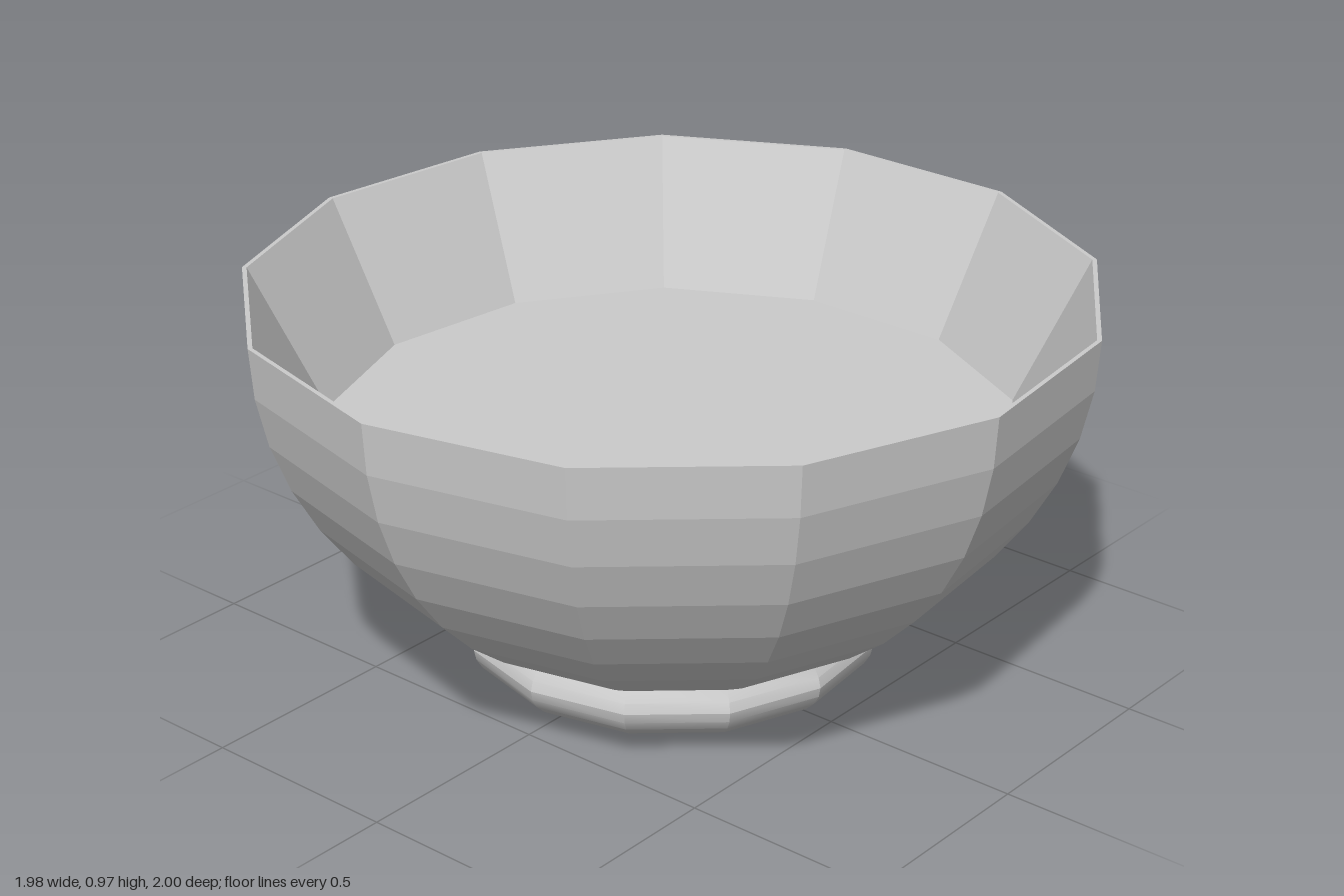
import * as THREE from 'three';
import { toCreasedNormals } from 'three/addons/utils/BufferGeometryUtils.js';

const SIDES = 13;
const RIM_RADIUS = 1.006, RIM_Y = 0.97;
const JOINT_RADIUS = 0.48, DEPTH = 0.923;

// Thirteen-sided turned form with one corner on -x
function turned(profile) {
  const points = profile.map(([r, y]) => new THREE.Vector2(r, y));
  return new THREE.LatheGeometry(points, SIDES, -Math.PI / 2);
}

function addMesh(parent, name, geometry, flatShading) {
  const material = new THREE.MeshStandardMaterial({ color: 0xcccccc, flatShading });
  const mesh = new THREE.Mesh(geometry, material);
  mesh.name = name;
  parent.add(mesh);
  return mesh;
}

export function createModel() {
  const model = new THREE.Group();
  model.name = 'bowl';

  // Bowl wall: elliptical outside from the foot up to the rim
  const wall = [];
  const bands = 8, sweep = Math.acos(JOINT_RADIUS / RIM_RADIUS);
  for (let i = bands; i >= 0; i--) {
    const t = (sweep * i) / bands;
    wall.push([RIM_RADIUS * Math.cos(t), RIM_Y - DEPTH * Math.sin(t)]);
  }
  // Thin rim, then the straight inner wall
  wall.push([0.995, RIM_Y], [0.82, 0.62]);
  addMesh(model, 'bowlWall', turned(wall), true);

  // Flat inner floor
  addMesh(model, 'innerFloor', turned([[0.82, 0.62], [0, 0.62]]), true);

  // Rounded foot: soft from top to bottom, faceted around
  const foot = [
    [0, 0.004], [0.2, 0.002], [0.3, 0], [0.37, 0.006], [0.42, 0.017], [0.46, 0.036],
    [0.485, 0.06], [0.5, 0.085], [0.505, 0.11], [0.498, 0.135], [0.48, 0.162],
  ];
  addMesh(model, 'foot', toCreasedNormals(turned(foot), THREE.MathUtils.degToRad(24)), false);

  // An odd number of sides is wider on one side, so shift to centre it
  const shift = (RIM_RADIUS * (1 - Math.cos(Math.PI / SIDES))) / 2;
  model.children.forEach((part) => { part.position.x = shift; });
  return model;
}
